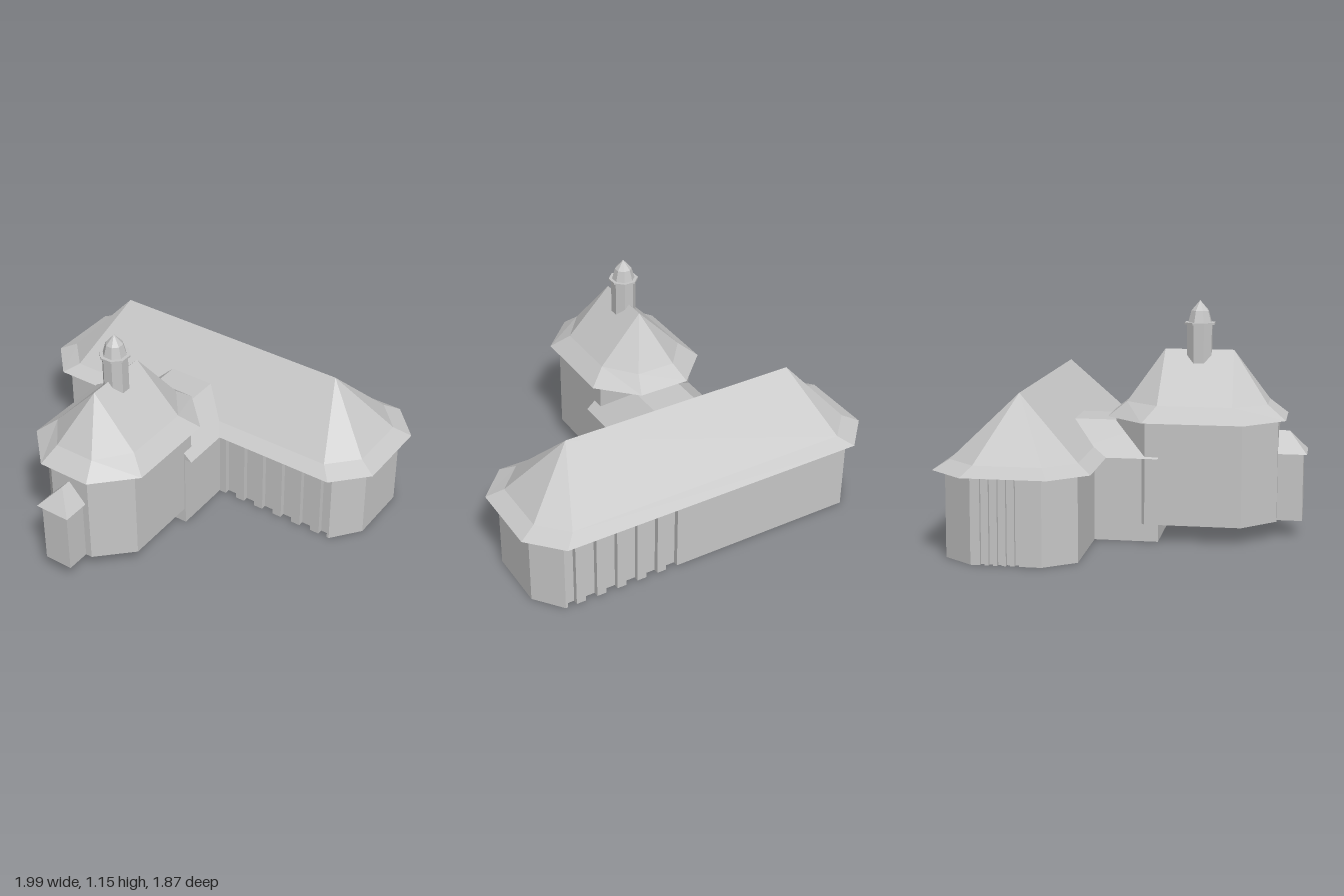
import * as THREE from 'three';

const grey = new THREE.MeshStandardMaterial({ color: 0xc6c6c6 });
grey.name = 'pale grey';

function addMesh(parent, name, geometry) {
  const mesh = new THREE.Mesh(geometry, grey);
  mesh.name = name;
  parent.add(mesh);
  return mesh;
}

// Chamfered rectangle in plan: half sizes a, b; the straight edges end at ac, bc
const octagon = (a, ac, b, bc) => [
  [a, bc], [ac, b], [-ac, b], [-a, bc], [-a, -bc], [-ac, -b], [ac, -b], [a, -bc],
];

// Solid with vertical walls over a plan outline
function walls(outline, y0, y1) {
  const shape = new THREE.Shape(outline.map(([x, z]) => new THREE.Vector2(x, z)));
  const geometry = new THREE.ExtrudeGeometry(shape, { depth: y1 - y0, bevelEnabled: false });
  return geometry.rotateX(Math.PI / 2).translate(0, y1, 0);
}

// Faceted roof from stacked plan rings, closed underneath
function roof(layers) {
  const rings = layers.map(([y, pts]) => pts.map(([x, z]) => new THREE.Vector3(x, y, z)));
  const out = [];
  const tri = (a, b, c) => {
    if (new THREE.Triangle(a, b, c).getArea() < 1e-7) return;
    for (const p of [a, b, c]) out.push(p.x, p.y, p.z);
  };
  const n = rings[0].length;
  for (let k = 0; k < rings.length - 1; k++) {
    const lo = rings[k], up = rings[k + 1];
    for (let i = 0; i < n; i++) {
      const j = (i + 1) % n;
      tri(lo[i], up[i], up[j]);
      tri(lo[i], up[j], lo[j]);
    }
  }
  for (let i = 1; i < n - 1; i++) tri(rings[0][0], rings[0][i], rings[0][i + 1]);
  const geometry = new THREE.BufferGeometry();
  geometry.setAttribute('position', new THREE.Float32BufferAttribute(out, 3));
  geometry.computeVertexNormals();
  return geometry;
}

// Hall outline with recessed window bays on the long sides and one end
function hallOutline() {
  const a = 0.945, ac = 0.83, b = 0.31, bc = 0.165, depth = 0.028;
  const bays = [0, 1, 2, 3, 4, 5].map((i) => {
    const start = 0.194 + 0.115 * i;
    return [start, Math.min(start + 0.064, 0.818)];
  });
  const front = [], back = [], end = [];
  for (const [s, e] of [...bays].reverse()) front.push([e, b], [e, b - depth], [s, b - depth], [s, b]);
  for (const [s, e] of bays) back.push([s, -b], [s, depth - b], [e, depth - b], [e, -b]);
  for (let i = 0; i < 5; i++) {
    const v = 0.06 - 0.04 * i;
    end.push([-a, v], [0.02 - a, v], [0.02 - a, v - 0.02], [-a, v - 0.02]);
  }
  return [
    [a, bc], [ac, b], ...front, [-ac, b], [-a, bc], ...end,
    [-a, -bc], [-ac, -b], ...back, [ac, -b], [a, -bc],
  ];
}

export function createModel() {
  const model = new THREE.Group();
  model.name = 'building';
  const site = new THREE.Group();
  site.name = 'turnedBuilding';
  site.position.z = -0.27;
  site.rotation.y = -0.403;
  model.add(site);

  // Long hall with hipped, flared roof
  addMesh(site, 'hallWalls', walls(hallOutline(), 0, 0.415));
  addMesh(site, 'hallRoof', roof([
    [0.41, octagon(0.997, 0.838, 0.37, 0.2)],
    [0.452, octagon(0.91, 0.775, 0.302, 0.16)],
    [0.75, octagon(0.645, 0.645, 0, 0)],
  ]));

  // Link between hall and chapel
  addMesh(site, 'linkWalls', walls([[0.155, 0.2], [0.155, 0.62], [-0.385, 0.62], [-0.385, 0.2]], 0, 0.415));
  const linkProfile = new THREE.Shape(
    [[-0.41, 0.41], [0.195, 0.41], [0.012, 0.567], [-0.23, 0.567]].map((p) => new THREE.Vector2(...p)));
  addMesh(site, 'linkRoof',
    new THREE.ExtrudeGeometry(linkProfile, { depth: 0.5, bevelEnabled: false }).translate(0, 0, 0.12));

  // Raised octagonal chapel
  const chapel = new THREE.Group();
  chapel.name = 'chapel';
  chapel.position.set(-0.126, 0, 0.787);
  site.add(chapel);
  addMesh(chapel, 'chapelWalls', walls(octagon(0.275, 0.11, 0.393, 0.232), 0.087, 0.595));
  addMesh(chapel, 'chapelRoof', roof([
    [0.588, octagon(0.325, 0.138, 0.431, 0.242)],
    [0.66, octagon(0.235, 0.105, 0.342, 0.18)],
    [0.91, octagon(0, 0, 0.168, 0.168)],
  ]));

  // Small porch with a hipped roof running into the chapel wall
  addMesh(chapel, 'porchWalls', walls([[0.075, 0.3], [0.075, 0.515], [-0.075, 0.515], [-0.075, 0.3]], 0.087, 0.425));
  addMesh(chapel, 'porchRoof', roof([
    [0.418, [[0.093, 0.3], [0.093, 0.533], [-0.093, 0.533], [-0.093, 0.3]]],
    [0.52, [[0, 0.3], [0, 0.445], [0, 0.445], [0, 0.3]]],
  ]));

  // Ridge turret: shaft, cornice and pointed cap
  const turret = new THREE.Group();
  turret.name = 'turret';
  chapel.add(turret);
  const ring = (r) => octagon(r, r * 0.414, r, r * 0.414);
  addMesh(turret, 'turretShaft', walls(ring(0.06), 0.84, 1.04));
  addMesh(turret, 'turretCornice', walls(ring(0.072), 1.033, 1.043));
  addMesh(turret, 'turretCap', roof([
    [1.04, ring(0.056)], [1.1, ring(0.041)], [1.15, ring(0)],
  ]));

  return model;
}
